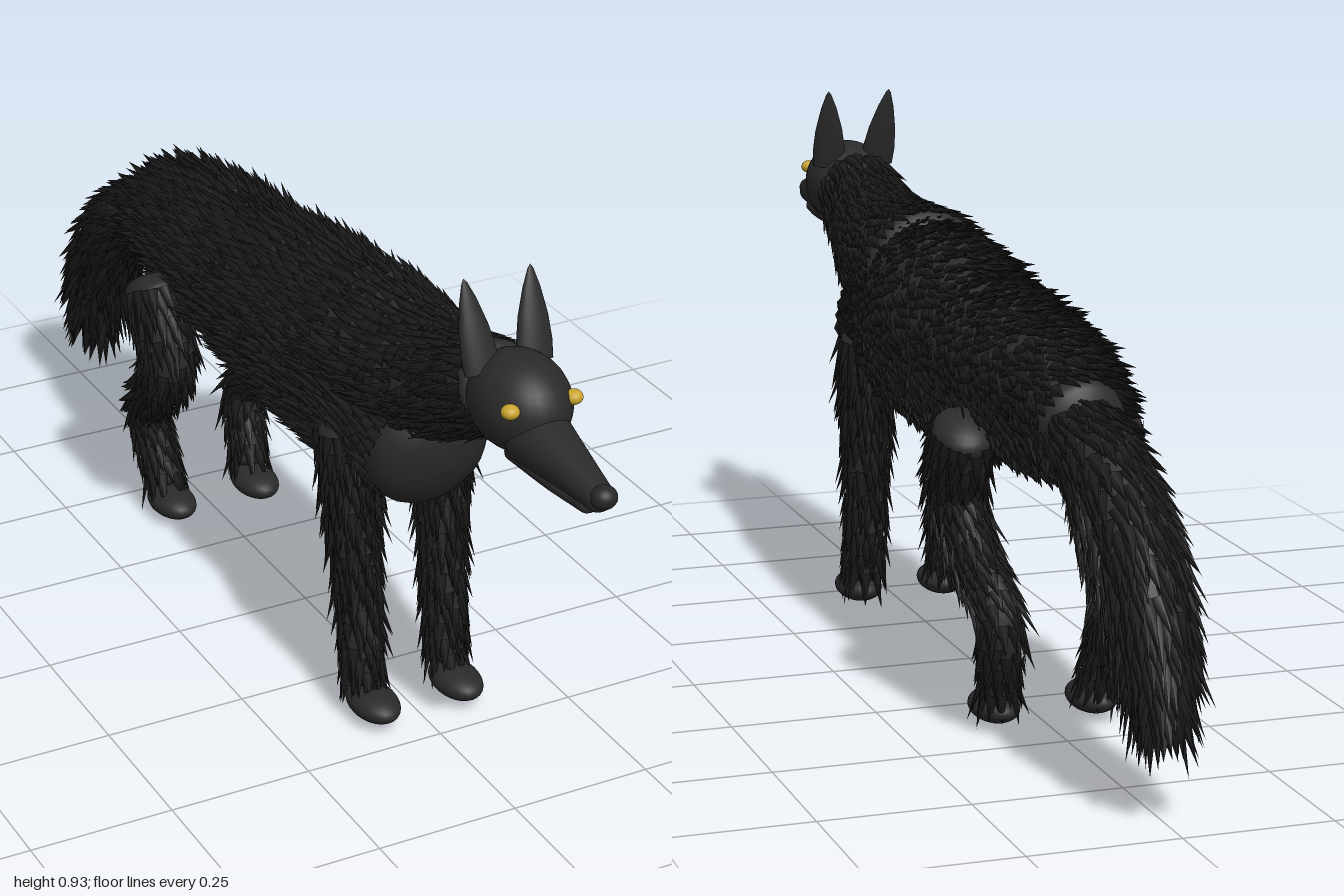
import * as THREE from 'three';
import { mergeGeometries } from 'three/addons/utils/BufferGeometryUtils.js';

const mat = (name, color) => Object.assign(new THREE.MeshStandardMaterial({ color }), { name });
const X = new THREE.Vector3(1, 0, 0);

function seeded(seed) {
  return () => {
    seed = (seed * 16807) % 2147483647;
    return seed / 2147483647;
  };
}

// Limb: a tube through sections [x, y, z, halfWidth, halfHeight]
function makeLimb(sections) {
  const path = new THREE.CatmullRomCurve3(sections.map(s => new THREE.Vector3(s[0], s[1], s[2])));
  const radii = new THREE.CatmullRomCurve3(sections.map(s => new THREE.Vector3(s[3], s[4], 0)), false, 'catmullrom');
  const frame = t => {
    const tangent = path.getTangent(t);
    const up = new THREE.Vector3().crossVectors(X, tangent).normalize();
    const side = new THREE.Vector3().crossVectors(tangent, up);
    return { c: path.getPoint(t), r: radii.getPoint(t), tangent, up, side };
  };
  const point = (f, a, k = 1) => f.c.clone()
    .addScaledVector(f.side, Math.cos(a) * f.r.x * k)
    .addScaledVector(f.up, Math.sin(a) * f.r.y * k);
  return { path, frame, point };
}

// Closed skin with rounded ends
function skinGeometry({ frame, point }, around = 24, along = 28, cap = 0.6) {
  const rings = [];
  for (let i = 6; i > 0; i--) rings.push([0, -i / 6]);
  for (let i = 0; i <= along; i++) rings.push([i / along, 0]);
  for (let i = 1; i <= 6; i++) rings.push([1, i / 6]);
  const pos = [], index = [];
  rings.forEach(([t, e], i) => {
    const f = frame(t), angle = e * Math.PI / 2;
    f.c.addScaledVector(f.tangent, Math.sin(angle) * Math.min(f.r.x, f.r.y) * cap);
    for (let j = 0; j < around; j++) {
      pos.push(...point(f, j / around * Math.PI * 2, Math.max(Math.cos(angle), 0.001)).toArray());
      if (i === rings.length - 1) continue;
      const a = i * around + j, b = i * around + (j + 1) % around;
      index.push(a, a + around, b, b, a + around, b + around);
    }
  });
  const g = new THREE.BufferGeometry();
  g.setAttribute('position', new THREE.Float32BufferAttribute(pos, 3));
  g.setIndex(index);
  g.computeVertexNormals();
  return g;
}

// Overlapping pointed tufts in staggered rows, lying back along the limb
function furGeometry({ path, frame, point }, o) {
  const rand = seeded(o.seed), tufts = [];
  const tuft = new THREE.ConeGeometry(1, 1, 4, 1, true).translate(0, 0.4, 0);
  const rows = Math.round(path.getLength() * (o.to - o.from) / o.row);
  for (let i = 0; i <= rows; i++) {
    const t0 = o.from + (o.to - o.from) * i / rows;
    const ring = frame(t0);
    const n = Math.ceil(Math.PI * (ring.r.x + ring.r.y) / o.gap);
    for (let j = 0; j < n; j++) {
      const t = THREE.MathUtils.clamp(t0 + (rand() - 0.5) * 0.8 / rows, 0, 1);
      const a = (j + (i % 2) / 2 + (rand() - 0.5) * 0.6) / n * Math.PI * 2;
      const f = frame(t);
      const normal = f.side.clone().multiplyScalar(Math.cos(a) / f.r.x)
        .addScaledVector(f.up, Math.sin(a) / f.r.y).normalize();
      const dir = f.tangent.clone().addScaledVector(normal, 0.12 + rand() * 0.2)
        .addScaledVector(f.side, (rand() - 0.5) * 0.2).normalize();
      const wide = new THREE.Vector3().crossVectors(dir, normal).normalize();
      const out = new THREE.Vector3().crossVectors(wide, dir);
      const len = o.len * (0.75 + rand() * 0.5);
      const m = new THREE.Matrix4().makeBasis(
        wide.multiplyScalar(o.width), dir.multiplyScalar(len), out.multiplyScalar(o.width * 0.5));
      m.setPosition(point(f, a, 1.01));
      tufts.push(tuft.clone().applyMatrix4(m));
    }
  }
  return mergeGeometries(tufts);
}

export function createModel() {
  const model = new THREE.Group();
  model.name = 'furryAnimal';
  const fur = mat('fur', 0x1d1d1d);
  const skin = mat('skin', 0x2a2a2a);
  const noseMat = mat('nose', 0x262626);
  const gold = mat('gold', 0xc9a52e);

  const add = (parent, name, geometry, material, p = [0, 0, 0], s = [1, 1, 1]) => {
    const mesh = new THREE.Mesh(geometry, material);
    mesh.name = name;
    mesh.position.set(...p);
    mesh.scale.set(...s);
    parent.add(mesh);
    return mesh;
  };
  const ball = new THREE.SphereGeometry(1, 28, 20);

  const furry = (name, sections, o, cap) => {
    const group = new THREE.Group(), limb = makeLimb(sections);
    group.name = name;
    add(group, name + 'Skin', skinGeometry(limb, 24, 28, cap), skin);
    add(group, name + 'Fur', furGeometry(limb, {
      from: 0, to: 1, row: 0.024, gap: 0.021, len: 0.07, width: 0.014, seed: 7, ...o }), fur);
    model.add(group);
  };

  // Trunk, neck and tail
  furry('body', [
    [0, 0.525, 0.44, 0.105, 0.11], [0, 0.565, 0.3, 0.122, 0.165], [0, 0.575, 0.1, 0.13, 0.175],
    [0, 0.565, -0.1, 0.125, 0.15], [0, 0.567, -0.3, 0.118, 0.132], [0, 0.562, -0.45, 0.1, 0.112],
    [0, 0.55, -0.55, 0.075, 0.075]], { seed: 11, from: 0.02 }, 0.55);
  furry('neck', [
    [0, 0.745, 0.66, 0.07, 0.07], [0, 0.697, 0.55, 0.082, 0.085],
    [0, 0.66, 0.42, 0.108, 0.108], [0, 0.64, 0.25, 0.12, 0.13]], { seed: 23, width: 0.012 }, 0.4);
  furry('tail', [
    [0, 0.54, -0.53, 0.06, 0.06], [0, 0.49, -0.68, 0.064, 0.065], [0, 0.385, -0.81, 0.066, 0.066],
    [0, 0.265, -0.88, 0.058, 0.06], [0, 0.16, -0.913, 0.03, 0.035]], { seed: 37, len: 0.08 });

  // Legs and paws
  for (const s of [1, -1]) {
    const side = s > 0 ? 'left' : 'right';
    const legFur = { row: 0.026, gap: 0.019, len: 0.06, width: 0.012, seed: 50 + s };
    furry(side + 'FrontLeg', [
      [s * 0.085, 0.52, 0.32, 0.05, 0.055], [s * 0.085, 0.4, 0.335, 0.044, 0.046],
      [s * 0.082, 0.25, 0.35, 0.036, 0.037], [s * 0.08, 0.08, 0.372, 0.033, 0.033]], legFur);
    furry(side + 'HindLeg', [
      [s * 0.13, 0.5, -0.35, 0.05, 0.062], [s * 0.125, 0.385, -0.3, 0.046, 0.058],
      [s * 0.115, 0.295, -0.36, 0.04, 0.044], [s * 0.1, 0.21, -0.445, 0.035, 0.037],
      [s * 0.088, 0.08, -0.41, 0.032, 0.033]], legFur);
    add(model, side + 'FrontPaw', ball, skin, [s * 0.08, 0.042, 0.408], [0.041, 0.026, 0.064]);
    add(model, side + 'HindPaw', ball, skin, [s * 0.086, 0.042, -0.38], [0.041, 0.026, 0.064]);
  }

  // Head, tapering muzzle, jaw and nose
  const head = new THREE.Group();
  head.name = 'head';
  model.add(head);
  add(head, 'skull', ball, skin, [0, 0.747, 0.725], [0.078, 0.08, 0.098]);
  add(head, 'muzzle', skinGeometry(makeLimb([
    [0, 0.693, 0.97, 0.024, 0.022], [0, 0.703, 0.88, 0.038, 0.035],
    [0, 0.712, 0.78, 0.055, 0.052]]), 28, 12), skin);
  add(head, 'jaw', skinGeometry(makeLimb([
    [0, 0.67, 0.94, 0.02, 0.015], [0, 0.672, 0.86, 0.032, 0.018],
    [0, 0.682, 0.76, 0.045, 0.026]]), 24, 10), skin);
  add(head, 'noseTip', ball, noseMat, [0, 0.7, 0.977], [0.022, 0.019, 0.021]);

  // Flattened pointed ears and round eyes
  const ear = new THREE.LatheGeometry([[0.031, 0], [0.031, 0.03], [0.026, 0.07], [0.015, 0.115], [0.005, 0.143], [0, 0.15]]
    .map(p => new THREE.Vector2(...p)), 24);
  for (const s of [1, -1]) {
    const side = s > 0 ? 'left' : 'right';
    const e = add(head, side + 'Ear', ear, skin, [s * 0.047, 0.79, 0.69], [1, 1, 0.5]);
    e.rotation.set(-0.3, 0, -s * 0.08);
    add(head, side + 'Eye', ball, gold, [s * 0.056, 0.77, 0.792], [0.015, 0.012, 0.015]);
  }
  return model;
}
